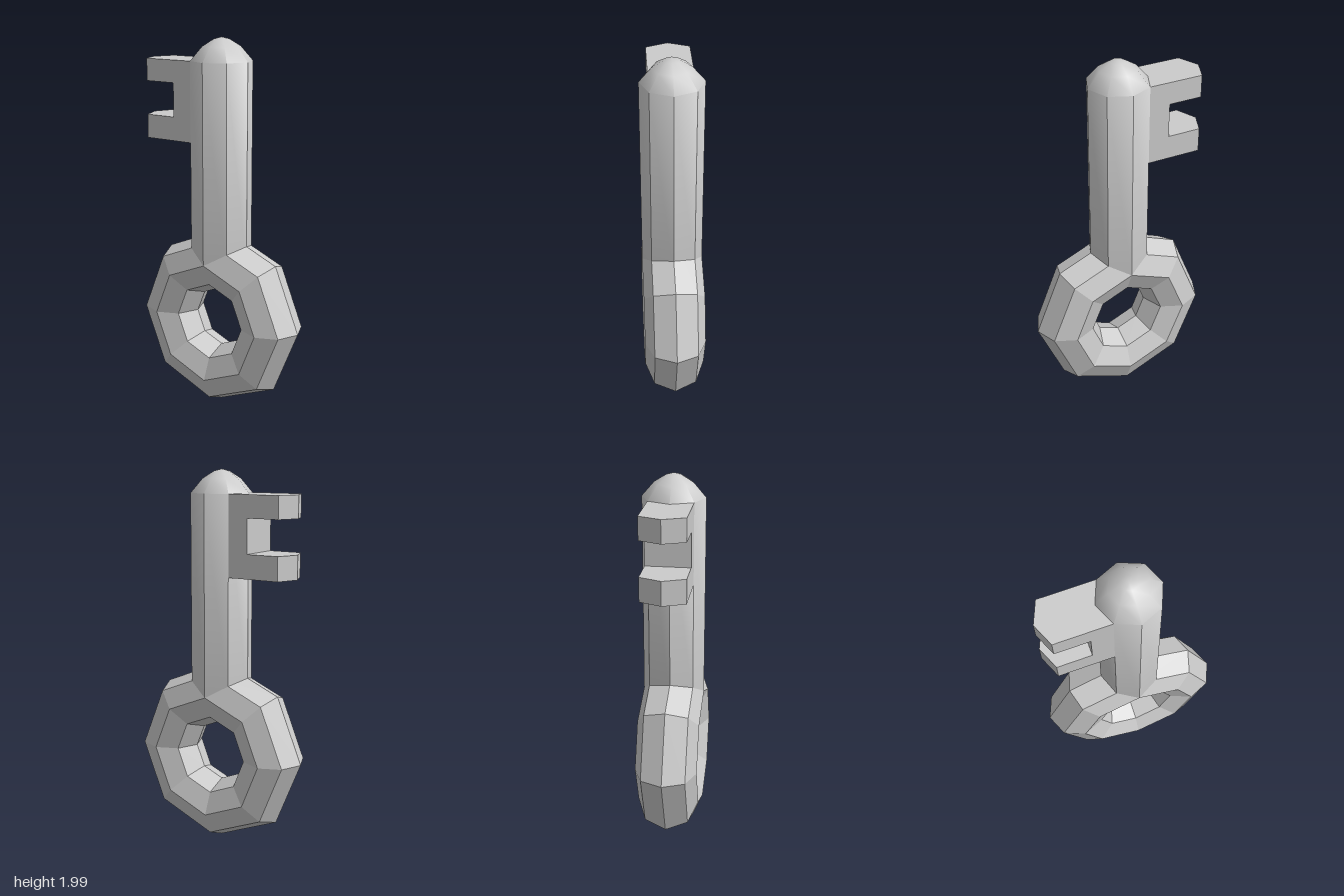
import * as THREE from 'three';
import { toCreasedNormals } from 'three/addons/utils/BufferGeometryUtils.js';

const SIDES = 8;
const R = 0.163; // shared thickness radius of bow and shaft

export function createModel() {
  const group = new THREE.Group();
  const flat = new THREE.MeshStandardMaterial({ color: 0xcccccc, flatShading: true });
  const smooth = new THREE.MeshStandardMaterial({ color: 0xcccccc });

  const add = (name, geometry, material) => {
    const mesh = new THREE.Mesh(geometry, material);
    mesh.name = name;
    group.add(mesh);
    return mesh;
  };

  // Ring-shaped handle
  add('bow', new THREE.TorusGeometry(2 * R, R, SIDES, SIDES), flat).position.y = 0.498;

  // Octagonal shaft with a rounded tip; its foot sits inside the ring
  const profile = [[0, 0.827], [R, 0.827], [R, 1.88], [0.1, 1.953], [0.04, 1.99], [0, 2]]
    .map(([x, y]) => new THREE.Vector2(x, y));
  const shaft = new THREE.LatheGeometry(profile, SIDES);
  add('shaft', toCreasedNormals(shaft, THREE.MathUtils.degToRad(42)), smooth);

  // Two-toothed bit, extruded in two steps so the tooth ends come to a ridge
  const half = R * Math.SQRT1_2;
  const tipX = -0.403;
  const outline = [
    [-0.05, 1.46], [-0.05, 1.88], [tipX, 1.88], [tipX, 1.763],
    [-0.226, 1.763], [-0.226, 1.585], [tipX, 1.585], [tipX, 1.46],
  ].map(([x, y]) => new THREE.Vector2(x, y));
  const bit = new THREE.ExtrudeGeometry(new THREE.Shape(outline), {
    depth: 2 * half, steps: 2, bevelEnabled: false,
  });
  bit.translate(0, 0, -half);
  const pos = bit.attributes.position;
  for (let i = 0; i < pos.count; i++) {
    if (Math.abs(pos.getZ(i)) < 0.001 && pos.getX(i) < tipX + 0.001) pos.setX(i, -0.451);
  }
  bit.computeVertexNormals();
  add('bit', bit, flat);

  return group;
}
